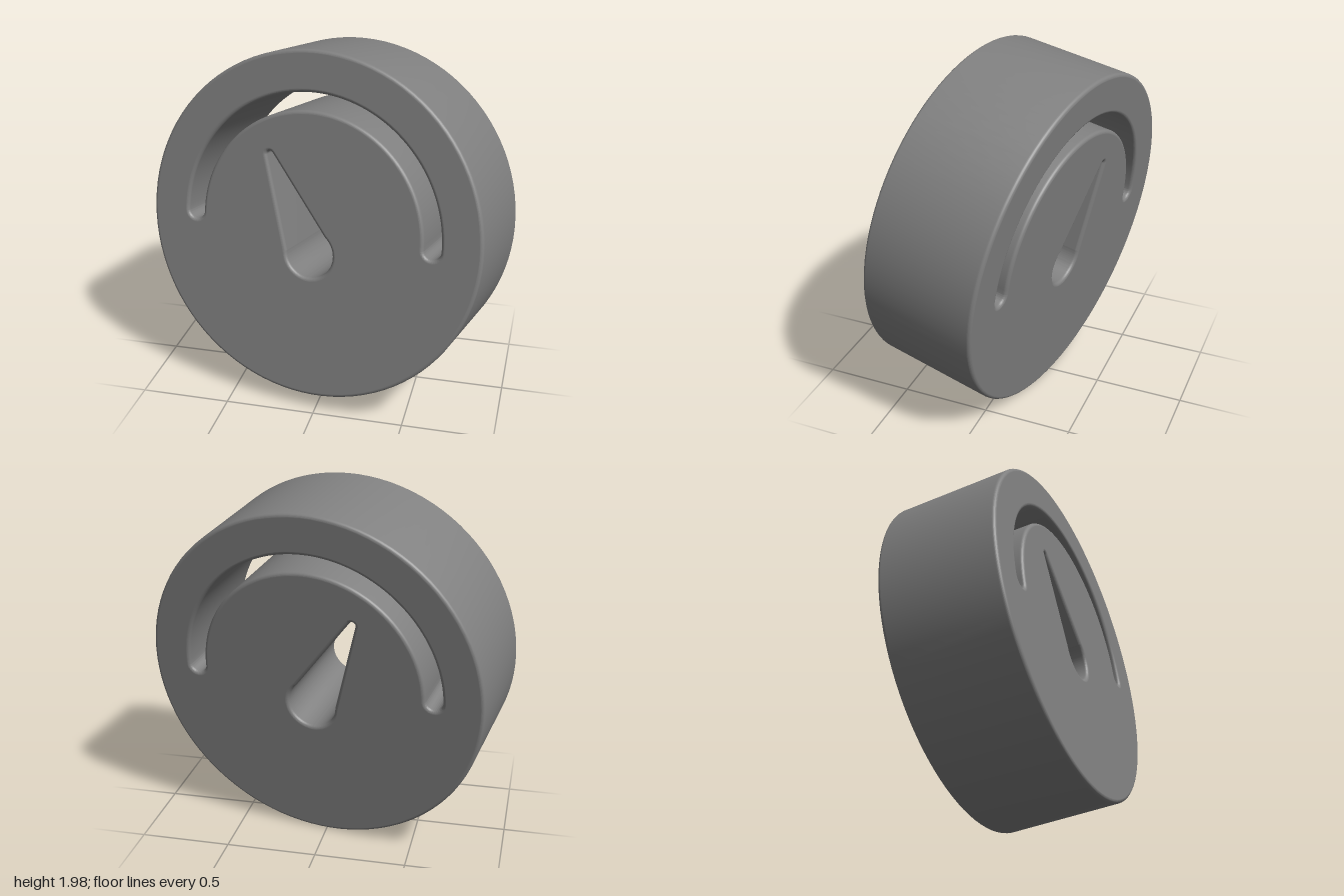
import * as THREE from 'three';
import { toCreasedNormals } from 'three/addons/utils/BufferGeometryUtils.js';

const RADIUS = 0.958, DEPTH = 0.67, BEVEL = 0.021;

// Semicircular slot with round ends
function arcSlot(radius, half) {
  const p = new THREE.Path();
  p.absarc(0, 0, radius + half, 0, Math.PI, false);
  p.absarc(-radius, 0, half, Math.PI, 2 * Math.PI, false);
  p.absarc(0, 0, radius - half, Math.PI, 0, true);
  p.absarc(radius, 0, half, Math.PI, 2 * Math.PI, false);
  return p;
}

// Pointer: a round base met by a taper with a slight kink, and a small round tip
function pointer(base, R, tip, r) {
  const dir = tip.clone().sub(base);
  const a = dir.angle(), b = Math.acos((R - r) / dir.length());
  const kink = 2 * b - Math.PI / 2;
  const p = new THREE.Path();
  p.absarc(base.x, base.y, R, a + kink, a - kink + 2 * Math.PI, false);
  p.absarc(tip.x, tip.y, r, a - b, a + b, false);
  p.closePath();
  return p;
}

export function createModel() {
  const group = new THREE.Group();

  // Thick disc pierced by the gauge arc and the pointer
  const shape = new THREE.Shape();
  shape.absarc(0, 0, RADIUS - BEVEL, 0, 2 * Math.PI, false);
  shape.holes.push(
    arcSlot(0.689, 0.068),
    pointer(new THREE.Vector2(0.005, -0.136), 0.156, new THREE.Vector2(-0.251, 0.378), 0.039),
  );
  let geometry = new THREE.ExtrudeGeometry(shape, {
    depth: DEPTH - 2 * BEVEL, steps: 1, curveSegments: 48,
    bevelEnabled: true, bevelSize: BEVEL, bevelThickness: BEVEL, bevelSegments: 12,
  });
  geometry.translate(0, 0, BEVEL - DEPTH / 2);
  // Keeps the kink beside the pointer's base sharp
  geometry = toCreasedNormals(geometry, 0.17);

  // The rounded edges run tangent into the two flat faces
  const pos = geometry.attributes.position, nor = geometry.attributes.normal;
  for (let i = 0; i < pos.count; i++) {
    const z = pos.getZ(i);
    if (Math.abs(z) > DEPTH / 2 - 1e-4) nor.setXYZ(i, 0, 0, Math.sign(z));
  }

  const disc = new THREE.Mesh(geometry, new THREE.MeshStandardMaterial({ color: 0x808080 }));
  disc.name = 'gaugeDisc';

  // Tilt so the front face looks slightly up and to one side
  const n = new THREE.Vector3(-0.175, 0.137, 0.975).normalize();
  const v = n.clone().cross(new THREE.Vector3(0.9843, 0.005, 0.176)).normalize();
  const u = v.clone().cross(n);
  disc.quaternion.setFromRotationMatrix(new THREE.Matrix4().makeBasis(u, v, n));
  disc.position.y = 0.995;
  group.add(disc);
  return group;
}
